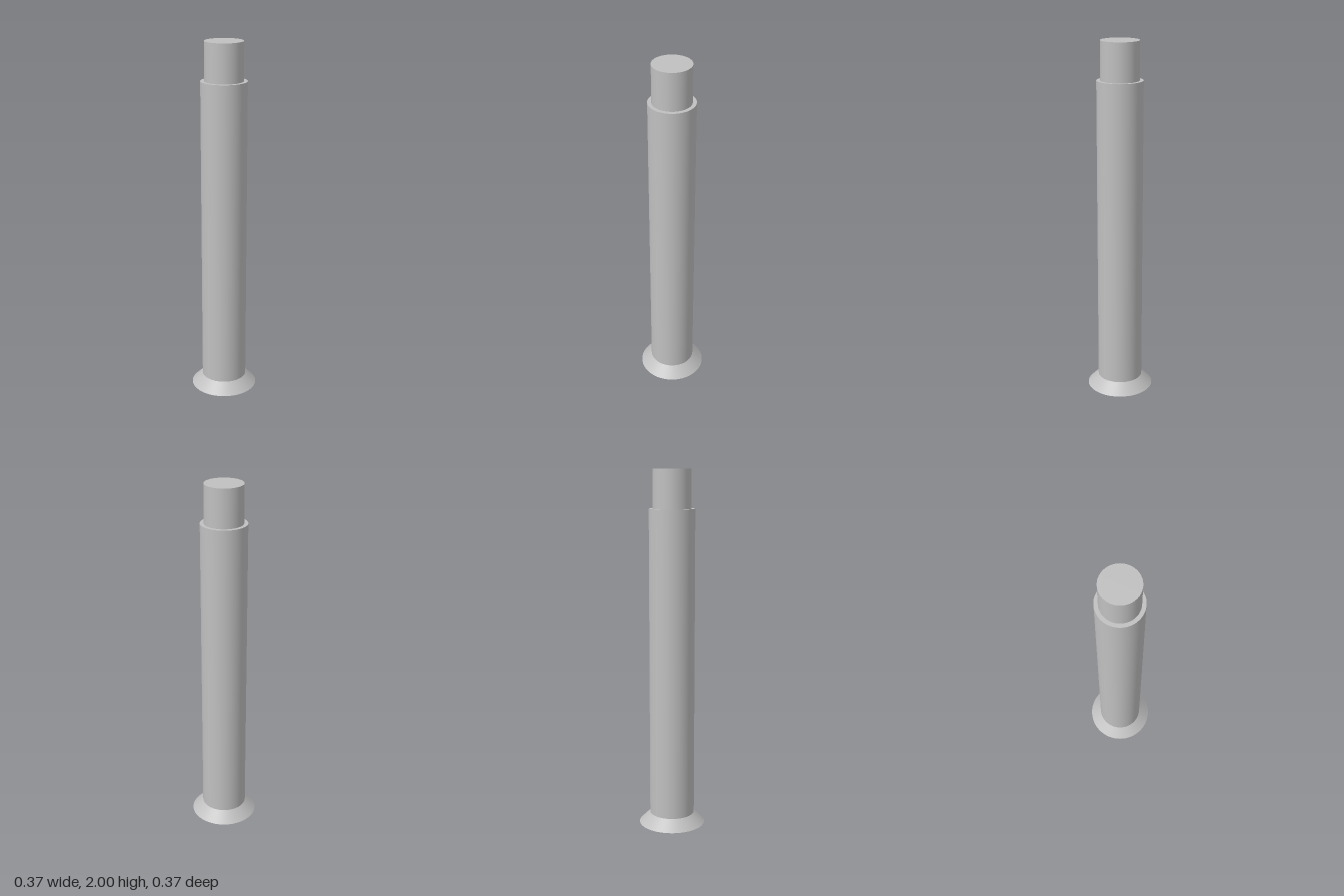
import * as THREE from 'three';

export function createModel() {
  const group = new THREE.Group();
  const steel = new THREE.MeshStandardMaterial({ color: 0xc0c0c0 });
  steel.name = 'steel grey';

  const SEG = 96;
  const HEAD_R = 0.186, SLEEVE_R = 0.126, TIP_R = 0.105;
  const HEAD_TOP = 0.06, SLEEVE_TOP = 1.79, TOP = 2;
  const HEX_R = 0.069, HEX_DEPTH = 0.1;

  const add = (name, geometry) => {
    const mesh = new THREE.Mesh(geometry, steel);
    mesh.name = name;
    group.add(mesh);
  };

  // Round wall between two heights
  const wall = (rTop, rBottom, y0, y1) =>
    new THREE.CylinderGeometry(rTop, rBottom, y1 - y0, SEG, 1, true).translate(0, (y0 + y1) / 2, 0);

  // Countersunk head, sleeve and narrower tip
  add('headCone', wall(SLEEVE_R, HEAD_R, 0, HEAD_TOP));
  add('sleeve', wall(SLEEVE_R, SLEEVE_R, HEAD_TOP, SLEEVE_TOP));
  add('sleeveShoulder', new THREE.RingGeometry(TIP_R, SLEEVE_R, SEG)
    .rotateX(-Math.PI / 2).translate(0, SLEEVE_TOP, 0));
  add('tip', wall(TIP_R, TIP_R, SLEEVE_TOP, TOP));
  add('tipEnd', new THREE.CircleGeometry(TIP_R, SEG)
    .rotateX(-Math.PI / 2).translate(0, TOP, 0));

  // Flat underside of the head with a hexagonal opening
  const face = new THREE.Shape().absarc(0, 0, HEAD_R, 0, Math.PI * 2);
  const hex = Array.from({ length: 6 }, (_, i) => {
    const a = -i * Math.PI / 3;
    return new THREE.Vector2(HEX_R * Math.cos(a), HEX_R * Math.sin(a));
  });
  face.holes.push(new THREE.Path(hex).closePath());
  add('headFace', new THREE.ShapeGeometry(face, SEG).rotateX(Math.PI / 2));

  // Socket walls, mirrored so that they face inward
  const socket = new THREE.CylinderGeometry(HEX_R, HEX_R, HEX_DEPTH, 6, 1, true, Math.PI / 2)
    .scale(-1, 1, 1).translate(0, HEX_DEPTH / 2, 0).toNonIndexed();
  socket.computeVertexNormals();
  add('socketWalls', socket);
  add('socketFloor', new THREE.CircleGeometry(HEX_R, 6)
    .rotateX(Math.PI / 2).translate(0, HEX_DEPTH, 0));

  return group;
}
